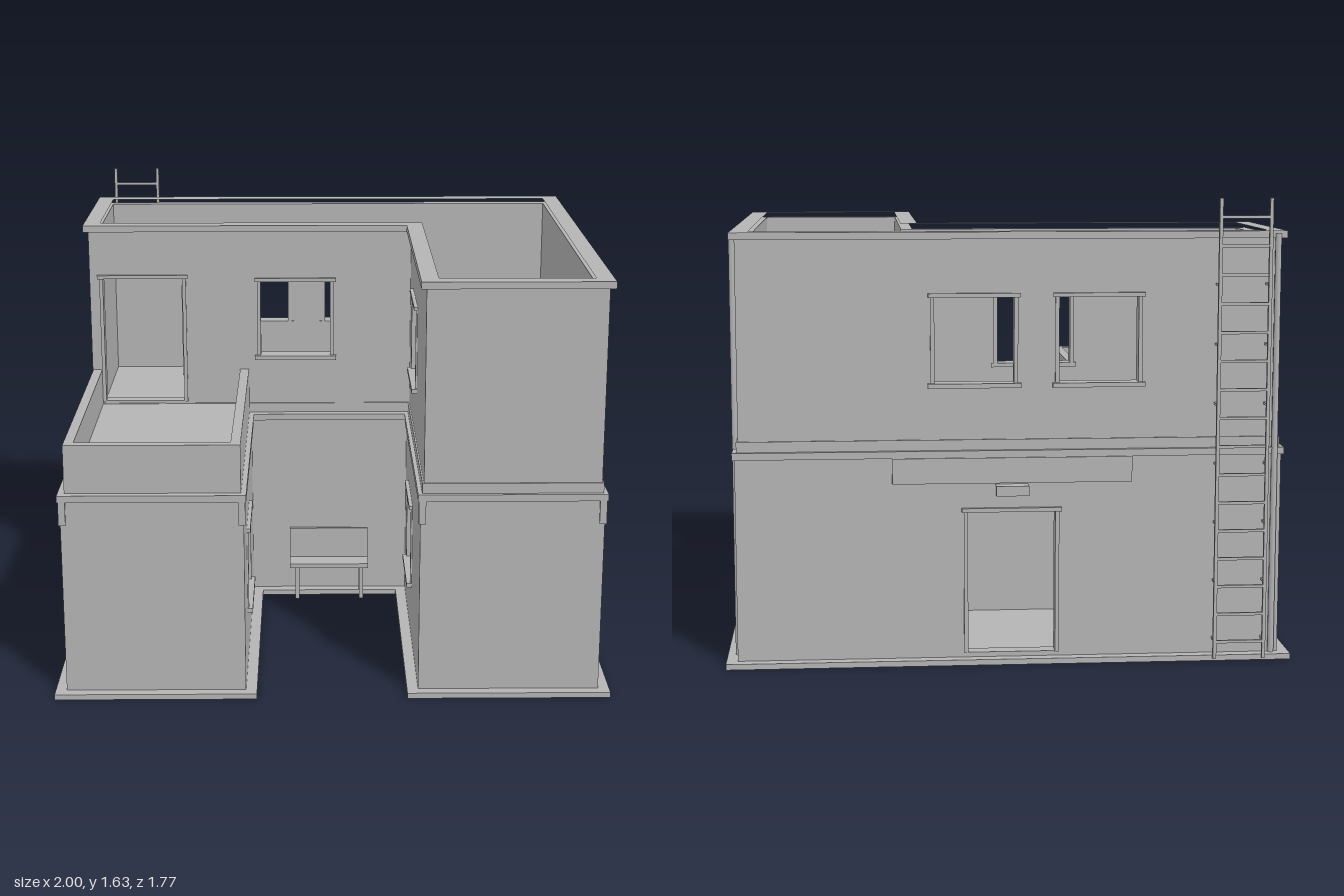
import * as THREE from 'three';

export function createModel() {
  const root = new THREE.Group();
  root.name = 'courtyardBuilding';
  const grey = new THREE.MeshStandardMaterial({ color: 0xb4b4b4 });
  grey.name = 'plaster grey';

  function add(name, geo, parent = root) {
    const m = new THREE.Mesh(geo, grey);
    m.name = name;
    parent.add(m);
    return m;
  }
  // box given by its limits
  function box(name, x0, x1, y0, y1, z0, z1, parent = root) {
    const m = add(name, new THREE.BoxGeometry(x1 - x0, y1 - y0, z1 - z0), parent);
    m.position.set((x0 + x1) / 2, (y0 + y1) / 2, (z0 + z1) / 2);
    return m;
  }
  const rect = (a, b, c, d) => [[a, c], [b, c], [b, d], [a, d]];
  const vecs = (pts, s = 1) => pts.map(([a, b]) => new THREE.Vector2(a, s * b));

  // footprints, grown outward by o
  const footU = o => [
    [-0.96 - o, -0.83 - o], [0.955 + o, -0.83 - o], [0.955 + o, 0.845 + o], [0.305 - o, 0.845 + o],
    [0.305 - o, -0.165 + o], [-0.315 + o, -0.165 + o], [-0.315 + o, 0.845 + o], [-0.96 - o, 0.845 + o]];
  const footL = o => [
    [-0.96 - o, -0.83 - o], [0.955 + o, -0.83 - o], [0.955 + o, 0.845 + o],
    [0.305 - o, 0.845 + o], [0.305 - o, -0.185 + o], [-0.96 - o, -0.185 + o]];

  // horizontal slab or ring from x,z points
  function slab(name, pts, hole, y0, y1) {
    const s = new THREE.Shape(vecs(pts, -1));
    if (hole) s.holes.push(new THREE.Path(vecs(hole, -1)));
    const g = new THREE.ExtrudeGeometry(s, { depth: y1 - y0, bevelEnabled: false });
    g.rotateX(-Math.PI / 2).translate(0, y0, 0);
    return add(name, g);
  }

  // wall along x or z between a and b; face = outer plane, out = outward sign
  function wall(name, axis, a, b, y0, y1, face, out, openings = [], t = 0.043) {
    const g = new THREE.Group();
    g.name = name;
    root.add(g);
    const s = new THREE.Shape(vecs(rect(a, b, y0, y1)));
    for (const o of openings) s.holes.push(new THREE.Path(vecs(rect(o[0], o[1], o[2], o[3]))));
    const geo = new THREE.ExtrudeGeometry(s, { depth: t, bevelEnabled: false });
    if (axis === 'z') geo.rotateY(-Math.PI / 2).translate(out > 0 ? face : face + t, 0, 0);
    else geo.translate(0, 0, out > 0 ? face - t : face);
    add(name + 'Panel', geo, g);
    // frame pieces around each opening
    const piece = (n, p, q, c, d, proud) => {
      const e = [face - out * (t + 0.006), face + out * proud].sort((i, j) => i - j);
      if (axis === 'x') box(n, p, q, c, d, e[0], e[1], g);
      else box(n, e[0], e[1], c, d, p, q, g);
    };
    for (const [p, q, c, d, door] of openings) {
      piece('lintel', p - 0.018, q + 0.018, d - 0.003, d + 0.011, 0.014);
      piece('jamb', p - 0.010, p + 0.004, c, d, 0.006);
      piece('jamb', q - 0.004, q + 0.010, c, d, 0.006);
      if (door) piece('threshold', p, q, c - 0.01, c + 0.003, 0.004);
      else piece('sill', p - 0.02, q + 0.02, c - 0.016, c, 0.02);
    }
  }

  // base slab, plinth, floor with stair opening, cornices
  slab('baseSlab', footU(0.04), null, 0, 0.02);
  slab('groundFloor', footU(-0.02), null, 0.02, 0.03);
  slab('upperFloor', footU(-0.03), rect(0.61, 0.89, -0.78, -0.07), 0.745, 0.795);
  slab('cornice', footU(0.009), footU(-0.04), 0.735, 0.76);
  slab('upperBand', footL(-0.006), footL(-0.05), 0.76, 0.797);
  slab('roofTrim', footL(0.007), footL(-0.056), 1.495, 1.52);

  // ground storey
  const lo = [0.235, 0.535], doorY = [0.035, 0.545, true];
  const G = [0.02, 0.737];
  wall('groundBackWall', 'x', -0.96, 0.955, ...G, -0.83, -1, [[-0.165, 0.15, ...doorY]]);
  wall('groundLeftWall', 'z', -0.787, 0.802, ...G, -0.96, -1,
    [[-0.58, -0.295, ...lo], [-0.155, 0.13, ...lo], [0.285, 0.57, ...lo]]);
  wall('groundRightWall', 'z', -0.787, 0.802, ...G, 0.955, 1, [[-0.03, 0.285, ...doorY]]);
  wall('leftWingFront', 'x', -0.96, -0.315, ...G, 0.845, 1);
  wall('rightWingFront', 'x', 0.305, 0.955, ...G, 0.845, 1);
  wall('leftWingCourtWall', 'z', -0.165, 0.802, ...G, -0.315, 1, [[0.3, 0.585, ...lo]]);
  wall('rightWingCourtWall', 'z', -0.165, 0.802, ...G, 0.305, -1, [[0.055, 0.34, ...lo]]);
  wall('courtBackWall', 'x', -0.358, 0.348, ...G, -0.165, 1);

  // upper storey
  const up = [0.995, 1.297], T = [0.78, 1.5];
  wall('upperBackWall', 'x', -0.948, 0.943, ...T, -0.818, -1, [[-0.455, -0.17, ...up], [-0.02, 0.265, ...up]]);
  wall('upperLeftWall', 'z', -0.775, -0.24, ...T, -0.948, -1);
  wall('upperRightWall', 'z', -0.775, 0.79, ...T, 0.943, 1, [[0.31, 0.595, ...up]]);
  wall('upperWingFront', 'x', 0.317, 0.943, ...T, 0.833, 1);
  wall('upperCourtWall', 'z', -0.197, 0.79, ...T, 0.317, -1, [[0.02, 0.303, ...up]]);
  wall('upperFrontWall', 'x', -0.948, 0.36, ...T, -0.197, 1,
    [[-0.9, -0.58, 0.805, 1.31, true], [-0.28, 0.003, ...up]]);

  // terrace parapet
  wall('parapetLeft', 'z', -0.197, 0.79, 0.76, 0.936, -0.945, -1, [], 0.035);
  wall('parapetRight', 'z', -0.197, 0.79, 0.76, 0.936, -0.325, 1, [], 0.035);
  wall('parapetFront', 'x', -0.945, -0.325, 0.76, 0.936, 0.825, 1, [], 0.035);

  // corbels at the front corners
  for (const x of [-0.953, -0.322, 0.312, 0.948])
    box('corbel', x - 0.0125, x + 0.0125, 0.65, 0.735, 0.828, 0.853);

  // sign boards and door lamps
  box('backSignBoard', -0.43, 0.41, 0.645, 0.735, -0.844, -0.83);
  box('leftSignBoard', -0.974, -0.96, 0.645, 0.735, -0.42, 0.42);
  box('sideDoorLamp', 0.955, 0.995, 0.605, 0.64, 0.07, 0.185);
  box('backDoorLamp', -0.065, 0.05, 0.605, 0.64, -0.88, -0.83);

  // drainpipes
  for (const [x, z] of [[0.957, -0.735], [-0.935, -0.835]]) {
    const pipe = add('drainpipe', new THREE.CylinderGeometry(0.011, 0.011, 1.49, 10));
    pipe.position.set(x, 0.765, z);
  }

  // wall ladder
  const ladder = new THREE.Group();
  ladder.name = 'ladder';
  root.add(ladder);
  const rails = [-0.9, -0.725];
  for (const x of rails) {
    box('ladderRail', x - 0.006, x + 0.006, 0.01, 1.635, -0.883, -0.869, ladder);
    for (let i = 0; i < 7; i++) {
      const y = 0.075 + i * 0.21;
      box('ladderBracket', x - 0.004, x + 0.004, y - 0.004, y + 0.004, -0.872, -0.815, ladder);
    }
  }
  for (let y = 0.07; y < 1.6; y += 0.1)
    box('ladderRung', rails[0], rails[1], y - 0.005, y + 0.005, -0.881, -0.871, ladder);

  // staircase
  const steps = 12, run = 0.71 / steps, rise = 0.765 / steps;
  for (let i = 0; i < steps; i++) {
    const z = -0.78 + i * run, y = 0.03 + (i + 1) * rise;
    box('stairTread', 0.625, 0.877, y - 0.02, y, z, z + run + 0.004);
  }
  for (const x of [0.613, 0.875]) {
    const s = new THREE.Shape(vecs([[-0.78, 0.03], [-0.7, 0.03], [-0.07, 0.7], [-0.07, 0.8], [-0.78, 0.1]]));
    const g = new THREE.ExtrudeGeometry(s, { depth: 0.012, bevelEnabled: false });
    g.rotateY(-Math.PI / 2).translate(x + 0.012, 0, 0);
    add('stairStringer', g);
  }

  // courtyard bench
  box('benchSeat', -0.165, 0.15, 0.145, 0.163, -0.145, -0.045);
  box('benchBack', -0.165, 0.15, 0.16, 0.285, -0.145, -0.13);
  for (const x of [-0.135, 0.122])
    for (const z of [-0.132, -0.06])
      box('benchLeg', x - 0.008, x + 0.008, 0.012, 0.147, z - 0.008, z + 0.008);

  // upper floor furniture
  box('cabinet', -0.617, -0.495, 0.795, 1.18, -0.775, -0.63);
  box('bedsideCabinet', 0.775, 0.9, 0.795, 0.93, 0.14, 0.265);
  box('bedBase', 0.415, 0.62, 0.795, 0.885, 0.41, 0.79);
  box('pillow', 0.435, 0.6, 0.885, 0.91, 0.67, 0.765);

  // ground floor shelf
  for (const z of [0.42, 0.71]) box('shelfSide', 0.35, 0.45, 0.03, 0.45, z, z + 0.012);
  for (const y of [0.05, 0.18, 0.31, 0.438]) box('shelfBoard', 0.35, 0.45, y, y + 0.012, 0.42, 0.722);

  return root;
}
